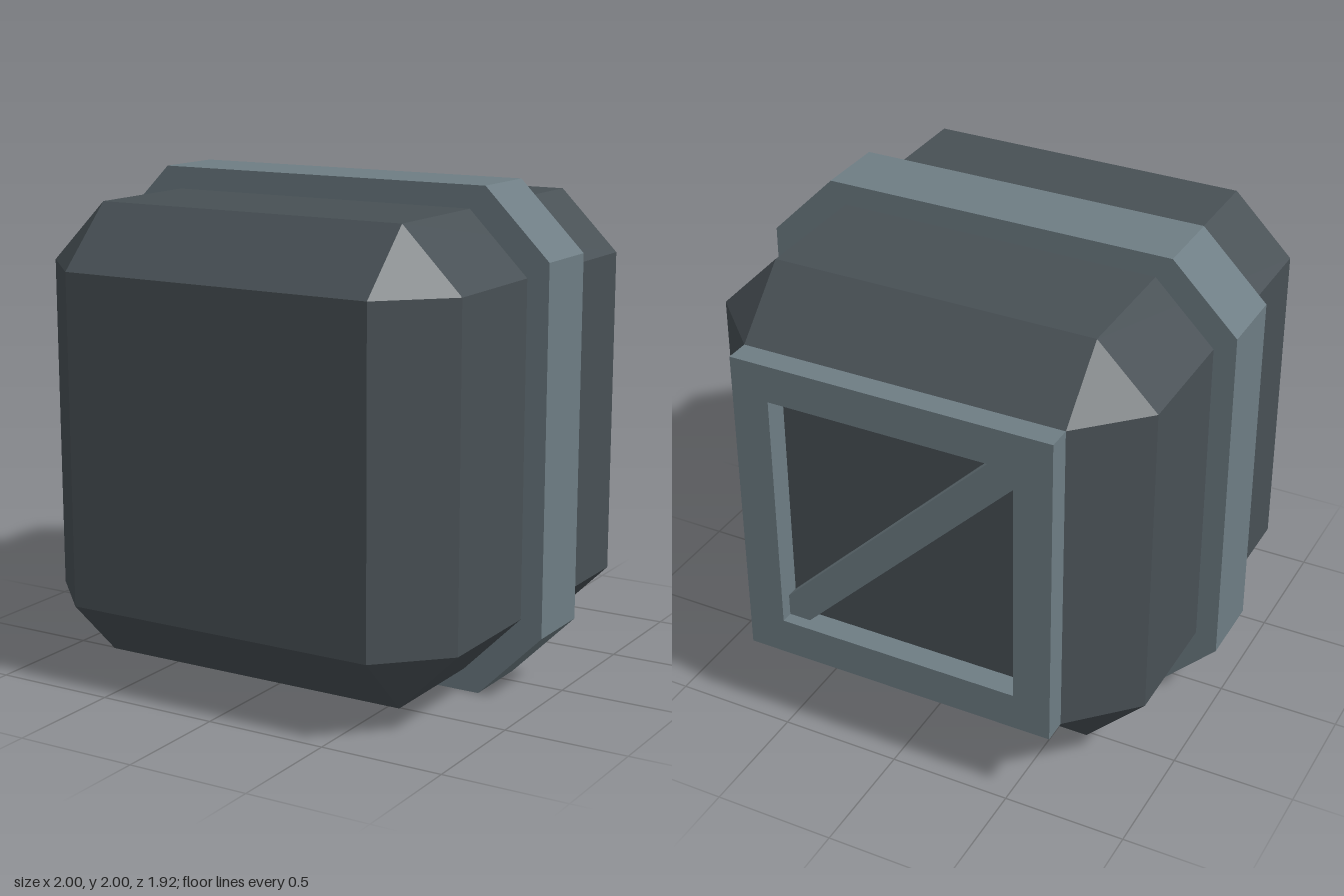
import * as THREE from 'three';
import { ConvexGeometry } from 'three/addons/geometries/ConvexGeometry.js';

const shell = new THREE.MeshStandardMaterial({ color: 0x485055 });
shell.name = 'dark grey shell';
const trim = new THREE.MeshStandardMaterial({ color: 0x6e7d84 });
trim.name = 'light grey trim';

// Cube of half size h with all edges and corners cut flat
function chamferedCube(h, inner) {
  const points = [];
  for (const x of [-1, 1]) for (const y of [-1, 1]) for (const z of [-1, 1]) {
    for (let axis = 0; axis < 3; axis++) {
      const s = [inner, inner, inner];
      s[axis] = h;
      points.push(new THREE.Vector3(x * s[0], y * s[1], z * s[2]));
    }
  }
  return new ConvexGeometry(points);
}

const outline = (points) => points.map(([x, y]) => new THREE.Vector2(x, y));
const square = (h) => outline([[-h, -h], [h, -h], [h, h], [-h, h]]);
const octagon = (h, c) => outline([
  [-c, -h], [c, -h], [h, -c], [h, c], [c, h], [-c, h], [-h, c], [-h, -c],
]);

function plate(points, depth, hole) {
  const shape = new THREE.Shape(points);
  if (hole) shape.holes.push(new THREE.Path(hole));
  return new THREE.ExtrudeGeometry(shape, { depth, bevelEnabled: false });
}

export function createModel() {
  const model = new THREE.Group();
  model.name = 'crate';
  const add = (name, geometry, material, z) => {
    const mesh = new THREE.Mesh(geometry, material);
    mesh.name = name;
    mesh.position.set(0, 1, z);
    model.add(mesh);
  };

  // Chamfered body and the band around its middle
  add('body', chamferedCube(0.91, 0.665), shell, 0.05);
  add('band', plate(octagon(1, 0.73), 0.3), trim, -0.1);

  // Raised square frame on the back, with a recessed diagonal brace
  const hole = 0.51, cut = 0.092;
  add('backFrame', plate(square(0.665), 0.1, square(hole)), trim, -0.96);
  add('diagonalBrace', plate(outline([
    [hole, -hole], [hole, -hole + cut], [-hole + cut, hole],
    [-hole, hole], [-hole, hole - cut], [hole - cut, -hole],
  ]), 0.05), trim, -0.91);

  return model;
}
